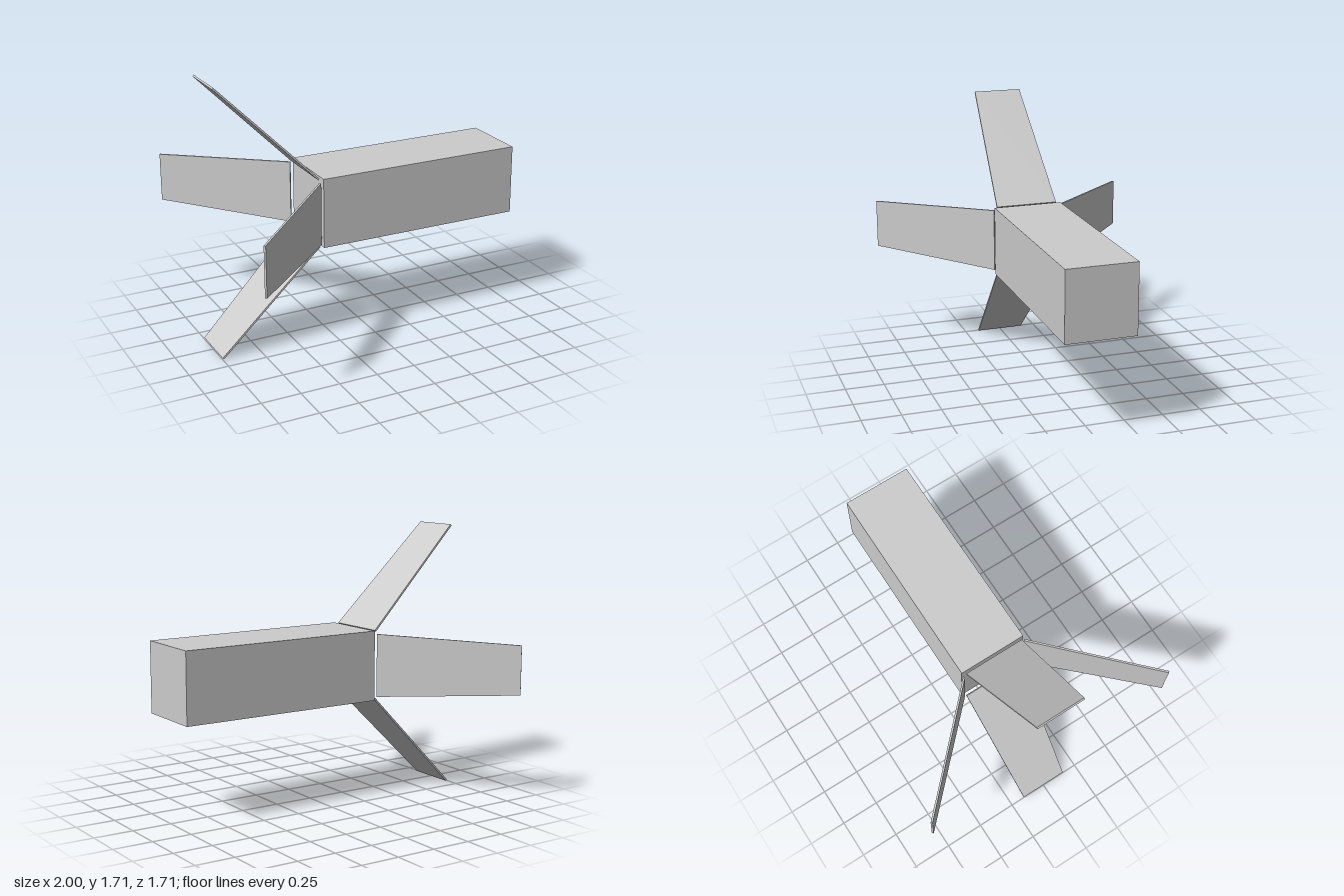
import * as THREE from 'three';

const AXIS_Y = 0.857; // height of the long axis

// Thin tapered plate: wide at the inner (+x) end, narrow at the outer (-x) end
function finGeometry(length, thickness, innerWidth, outerWidth) {
  const geometry = new THREE.BoxGeometry(length, thickness, 1);
  const p = geometry.attributes.position;
  for (let i = 0; i < p.count; i++) {
    p.setZ(i, p.getZ(i) * (p.getX(i) > 0 ? innerWidth : outerWidth));
  }
  geometry.computeVertexNormals();
  return geometry;
}

export function createModel() {
  const model = new THREE.Group();
  model.name = 'finnedBox';
  const grey = new THREE.MeshStandardMaterial({ color: 0xcccccc });
  grey.name = 'lightGrey';

  // Long square body
  const body = new THREE.Mesh(new THREE.BoxGeometry(1.34, 0.444, 0.444), grey);
  body.name = 'body';
  body.position.set(0.33, AXIS_Y, 0);
  model.add(body);

  // Four fins splayed at 45 degrees around the rear end
  const geometry = finGeometry(0.898, 0.012, 0.4, 0.312);
  ['topFin', 'frontFin', 'bottomFin', 'backFin'].forEach((name, i) => {
    const pivot = new THREE.Group();
    pivot.name = name;
    pivot.position.y = AXIS_Y;
    pivot.rotation.x = i * Math.PI / 2;
    const fin = new THREE.Mesh(geometry, grey);
    fin.name = name + 'Plate';
    fin.position.set(-0.678, 0.535, 0);
    fin.rotation.z = -Math.PI / 4;
    pivot.add(fin);
    model.add(pivot);
  });

  return model;
}
